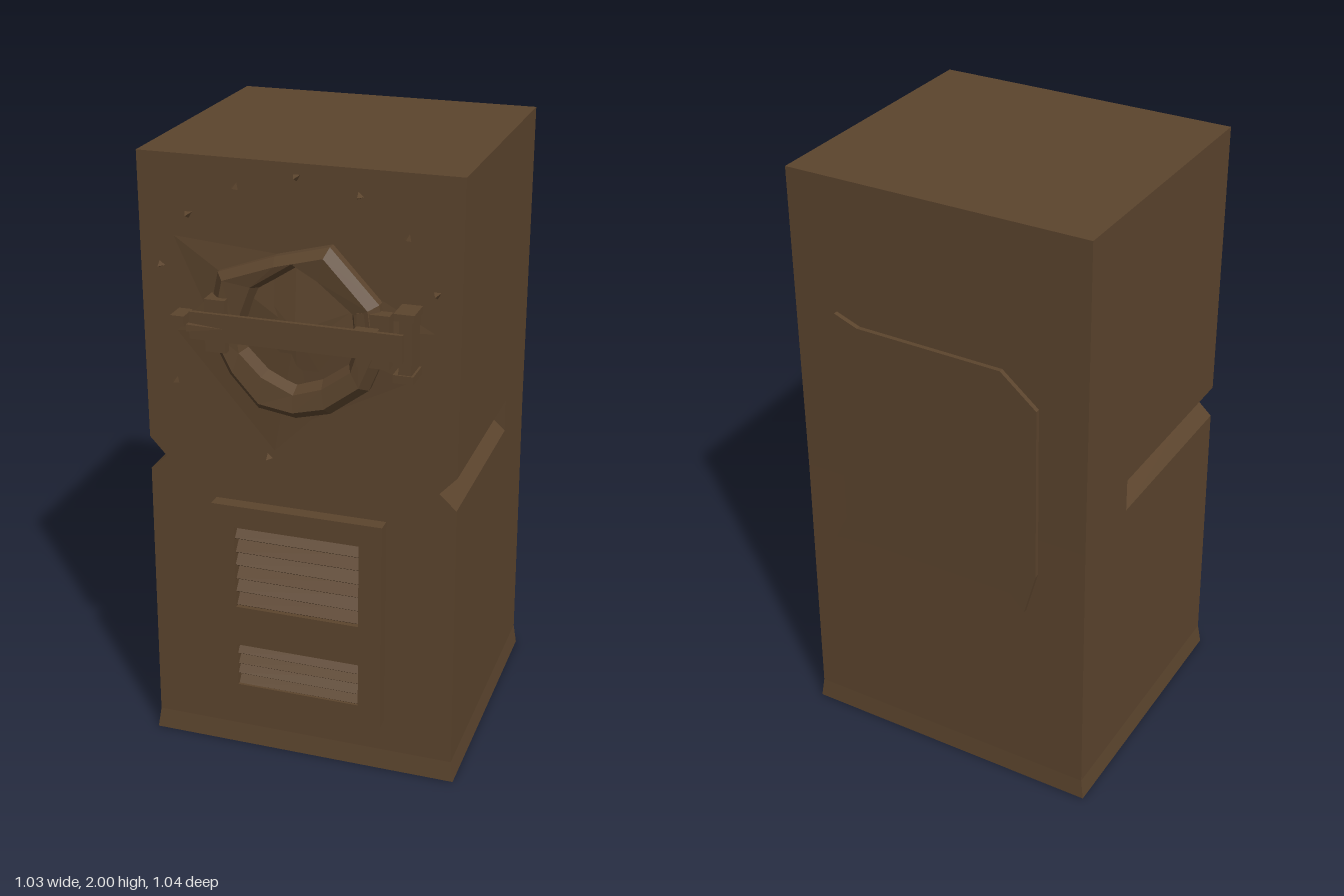
import * as THREE from 'three';

const brown = new THREE.MeshStandardMaterial({ color: 0x5b442d, flatShading: true, side: THREE.DoubleSide });
brown.name = 'brown';

function add(parent, name, geometry, x = 0, y = 0, z = 0) {
  const mesh = new THREE.Mesh(geometry, brown);
  mesh.name = name;
  mesh.position.set(x, y, z);
  parent.add(mesh);
  return mesh;
}

// Box given by its limits on each axis
function block(parent, name, [x0, x1], [y0, y1], [z0, z1]) {
  return add(parent, name, new THREE.BoxGeometry(x1 - x0, y1 - y0, z1 - z0),
    (x0 + x1) / 2, (y0 + y1) / 2, (z0 + z1) / 2);
}

function fromTriangles(points) {
  const g = new THREE.BufferGeometry();
  g.setAttribute('position', new THREE.Float32BufferAttribute(points.flat(), 3));
  g.computeVertexNormals();
  return g;
}

const polygon = (pts) => new THREE.Shape(pts.map(([x, y]) => new THREE.Vector2(x, y)));
const rect = (x, y0, y1) => polygon([[-x, y0], [x, y0], [x, y1], [-x, y1]]);
const extrude = (shape, depth) => new THREE.ExtrudeGeometry(shape, { depth, bevelEnabled: false });

// Cabinet shell, open below, with a V groove along the front of each side
function bodyGeometry() {
  const rows = [ // y, half width, half width in groove, front z, back z
    [0, 0.517, 0.517, 0.41, -0.514], [0.07, 0.507, 0.507, 0.403, -0.509],
    [0.97, 0.5, 0.5, 0.4, -0.505], [1.02, 0.5, 0.445, 0.4, -0.505],
    [1.08, 0.5, 0.5, 0.4, -0.505], [2, 0.5, 0.5, 0.4, -0.505],
  ];
  const grooveEnd = -0.235, t = [];
  const quad = (a, b, c, d) => t.push(a, b, c, a, c, d);
  for (let i = 0; i < rows.length - 1; i++) {
    const [y, w, n, f, b] = rows[i], [Y, W, N, F, B] = rows[i + 1];
    quad([-n, y, f], [n, y, f], [N, Y, F], [-N, Y, F]);
    quad([w, y, b], [-w, y, b], [-W, Y, B], [W, Y, B]);
    quad([n, y, f], [n, y, grooveEnd], [N, Y, grooveEnd], [N, Y, F]);
    quad([w, y, grooveEnd], [w, y, b], [W, Y, B], [W, Y, grooveEnd]);
    quad([-n, y, grooveEnd], [-n, y, f], [-N, Y, F], [-N, Y, grooveEnd]);
    quad([-w, y, b], [-w, y, grooveEnd], [-W, Y, grooveEnd], [-W, Y, B]);
  }
  quad([-0.5, 2, 0.4], [0.5, 2, 0.4], [0.5, 2, -0.505], [-0.5, 2, -0.505]);
  // Closing triangles at the back of the grooves
  t.push([0.5, 0.97, grooveEnd], [0.5, 1.08, grooveEnd], [0.445, 1.02, grooveEnd]);
  t.push([-0.5, 1.08, grooveEnd], [-0.5, 0.97, grooveEnd], [-0.445, 1.02, grooveEnd]);
  return fromTriangles(t);
}

// Irregular faceted ring with a sunken middle
function portholeGeometry() {
  const outer = [[0.28, 1.46], [0.26, 1.61], [0.11, 1.77], [-0.06, 1.725], [-0.24, 1.66],
    [-0.28, 1.48], [-0.21, 1.34], [-0.12, 1.24], [0, 1.222], [0.11, 1.25], [0.23, 1.34]];
  const inner = [[0.2, 1.46], [0.19, 1.58], [0.08, 1.67], [0, 1.715], [-0.13, 1.63],
    [-0.18, 1.5], [-0.17, 1.42], [-0.1, 1.35], [0, 1.305], [0.09, 1.335], [0.18, 1.4]];
  const loop = (pts, s, z) => pts.map(([x, y]) => [x * s, 1.5 + (y - 1.5) * s, z]);
  const loops = [loop(outer, 1, 0.4), loop(outer, 1, 0.43), loop(outer, 0.9, 0.462),
    loop(inner, 1, 0.455), loop(inner, 0.9, 0.41), loop(inner, 0.01, 0.43)];
  const t = [], n = outer.length;
  for (let k = 0; k < loops.length - 1; k++) {
    for (let i = 0; i < n; i++) {
      const j = (i + 1) % n, [a, b] = [loops[k], loops[k + 1]];
      t.push(a[i], a[j], b[j], a[i], b[j], b[i]);
    }
  }
  return fromTriangles(t);
}

export function createModel() {
  const model = new THREE.Group();
  model.name = 'cabinet';
  add(model, 'body', bodyGeometry());

  // Lower vent: frame with two windows of sloping slats
  const vent = new THREE.Group();
  vent.name = 'vent';
  model.add(vent);
  const frame = rect(0.28, 0.18, 0.9);
  const windows = [[0.54, 0.825, 6], [0.25, 0.4, 4]];
  windows.forEach(([y0, y1]) => frame.holes.push(rect(0.205, y0, y1)));
  add(vent, 'ventFrame', extrude(frame, 0.045), 0, 0, 0.4);
  for (const [y0, y1, count] of windows) {
    const step = (y1 - y0) / count;
    for (let i = 0; i < count; i++) {
      const slat = add(vent, 'ventSlat', new THREE.BoxGeometry(0.41, 0.005, 0.05),
        0, y0 + step * (i + 0.5), 0.42);
      slat.rotation.set(0.85, 0, (i % 2 ? -1 : 1) * 0.015);
    }
  }

  // Porthole on a shallow sloping flange
  const hatch = new THREE.Group();
  hatch.name = 'hatch';
  model.add(hatch);
  const rim = [[0.42, 1.53], [0.27, 1.61], [0, 1.72], [-0.39, 1.75], [-0.3, 1.55],
    [-0.39, 1.45], [-0.08, 1.09], [0.04, 1.21], [0.35, 1.37]];
  add(hatch, 'flange', fromTriangles(rim.flatMap(([x, y], i) => {
    const [X, Y] = rim[(i + 1) % rim.length];
    return [[x, y, 0.402], [X, Y, 0.402], [0, 1.5, 0.425]];
  })));
  add(hatch, 'porthole', portholeGeometry());

  // Locking bar, its brackets, hinge and latch
  block(hatch, 'lockingBar', [-0.31, 0.35], [1.465, 1.55], [0.482, 0.496]);
  block(hatch, 'leftBracket', [0.2, 0.3], [1.425, 1.59], [0.42, 0.46]);
  block(hatch, 'leftBracketStem', [0.2, 0.27], [1.465, 1.55], [0.45, 0.485]);
  block(hatch, 'rightBracket', [-0.265, -0.2], [1.425, 1.59], [0.42, 0.483]);
  block(hatch, 'hingePost', [0.335, 0.375], [1.42, 1.6], [0.4, 0.484]);
  block(hatch, 'hingeCap', [0.32, 0.382], [1.4, 1.425], [0.4, 0.49]);
  block(hatch, 'hingeCap', [0.32, 0.382], [1.59, 1.612], [0.4, 0.49]);
  block(hatch, 'latch', [-0.382, -0.338], [1.49, 1.522], [0.4, 0.47]);
  add(hatch, 'latchTongue', fromTriangles([
    [-0.31, 1.495, 0.518], [-0.2, 1.507, 0.498], [-0.31, 1.517, 0.518],
    [-0.31, 1.495, 0.5], [-0.2, 1.507, 0.498], [-0.31, 1.495, 0.518],
    [-0.31, 1.517, 0.518], [-0.2, 1.507, 0.498], [-0.31, 1.517, 0.5],
  ]));

  // Small pointed rivets in a circle around the hatch
  const rivets = [[0, 1.96], [-0.19, 1.915], [0.19, 1.92], [-0.34, 1.82], [0.335, 1.81],
    [-0.435, 1.655], [0.425, 1.65], [-0.4, 1.285], [-0.1, 1.065]];
  rivets.forEach(([x, y], i) => {
    const rivet = add(hatch, 'rivet', new THREE.ConeGeometry(0.014, 0.03, 3), x, y, 0.413);
    rivet.rotation.set(Math.PI / 2, i * 0.7, 0);
  });

  // Thin plate with flared corners on the back
  const plate = polygon([[0.35, 1.565], [0.27, 1.535], [-0.22, 1.53], [-0.34, 1.43], [-0.34, 0.84],
    [-0.3, 0.69], [-0.25, 0.745], [0.27, 0.745], [0.4, 0.73], [0.355, 0.82]]);
  add(model, 'backPlate', extrude(plate, 0.016), 0, 0, -0.52);

  return model;
}
